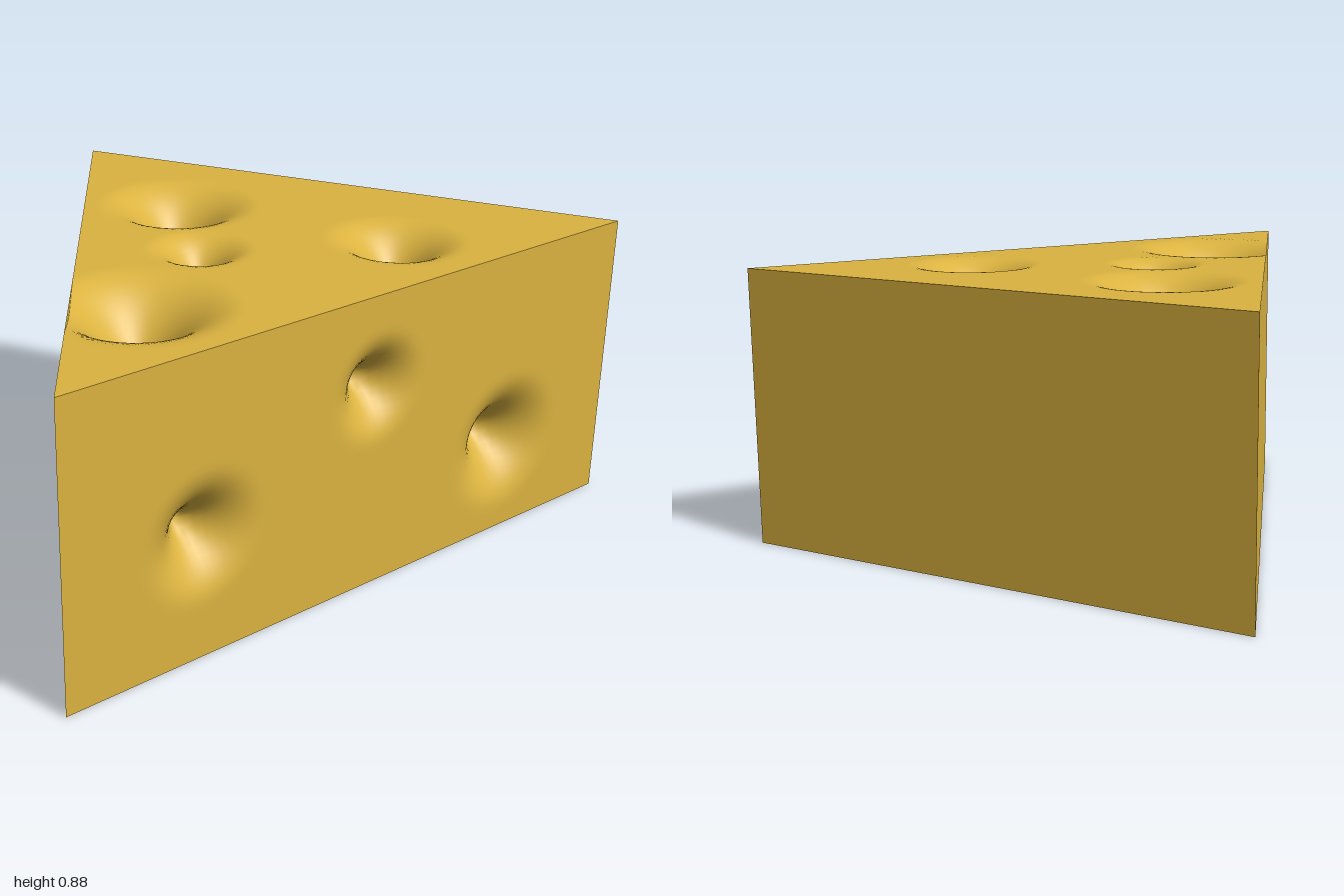
import * as THREE from 'three';

const H = 0.885, FRONT = 0.775;
const LEFT = [-1, FRONT], RIGHT = [1, FRONT], TIP = [0.175, -FRONT];

// Pits as [u, v, radius, depth] in the plane of their face
const topPits = [
  [0.06, -0.15, 0.25, 0.21],
  [-0.13, 0.2, 0.16, 0.14],
  [0.36, 0.49, 0.21, 0.18],
  [-0.52, 0.44, 0.28, 0.24],
];
const frontPits = [
  [-0.56, 0.36, 0.2, 0.16],
  [0.04, 0.61, 0.17, 0.15],
  [0.57, 0.285, 0.22, 0.18],
];

// Funnel-shaped pit: pointed at the centre, fading smoothly into the face
function pitDepth(pits, u, v) {
  let sum = 0;
  for (const [cu, cv, radius, depth] of pits) {
    const t = Math.hypot(u - cu, v - cv) / radius;
    if (t < 1) sum += depth * (1 - t) ** 2;
  }
  return sum;
}

function reshape(geometry, rule) {
  const p = geometry.attributes.position;
  for (let i = 0; i < p.count; i++) p.setXYZ(i, ...rule(p.getX(i), p.getY(i), p.getZ(i)));
  geometry.computeVertexNormals();
  return geometry;
}

export function createModel() {
  const group = new THREE.Group();
  group.name = 'cheeseWedge';
  const cheese = new THREE.MeshStandardMaterial({ color: 0xdbb340, side: THREE.DoubleSide });
  cheese.name = 'cheeseYellow';

  const add = (name, geometry) => {
    const mesh = new THREE.Mesh(geometry, cheese);
    mesh.name = name;
    group.add(mesh);
  };

  // Triangular top: a grid narrowing to the tip, pushed down at the pits
  const lerp = THREE.MathUtils.lerp;
  const top = new THREE.PlaneGeometry(1, 1, 100, 90).rotateX(-Math.PI / 2);
  add('topFace', reshape(top, (gx, gy, gz) => {
    const s = gz + 0.5;
    const x = lerp(lerp(TIP[0], LEFT[0], s), lerp(TIP[0], RIGHT[0], s), gx + 0.5);
    const z = lerp(TIP[1], FRONT, s);
    return [x, H - pitDepth(topPits, x, z), z];
  }));

  // Front: a grid pushed inwards at the pits
  const front = new THREE.PlaneGeometry(2, H, 100, 45);
  add('frontFace', reshape(front, (x, gy) => {
    const y = gy + H / 2;
    return [x, y, FRONT - pitDepth(frontPits, x, y)];
  }));

  // Flat side walls; the underside is open
  const wall = (a, b) => reshape(new THREE.PlaneGeometry(1, H), (gx, gy) => [
    lerp(a[0], b[0], gx + 0.5), gy + H / 2, lerp(a[1], b[1], gx + 0.5),
  ]);
  add('leftSideWall', wall(RIGHT, TIP));
  add('rightSideWall', wall(TIP, LEFT));

  return group;
}
